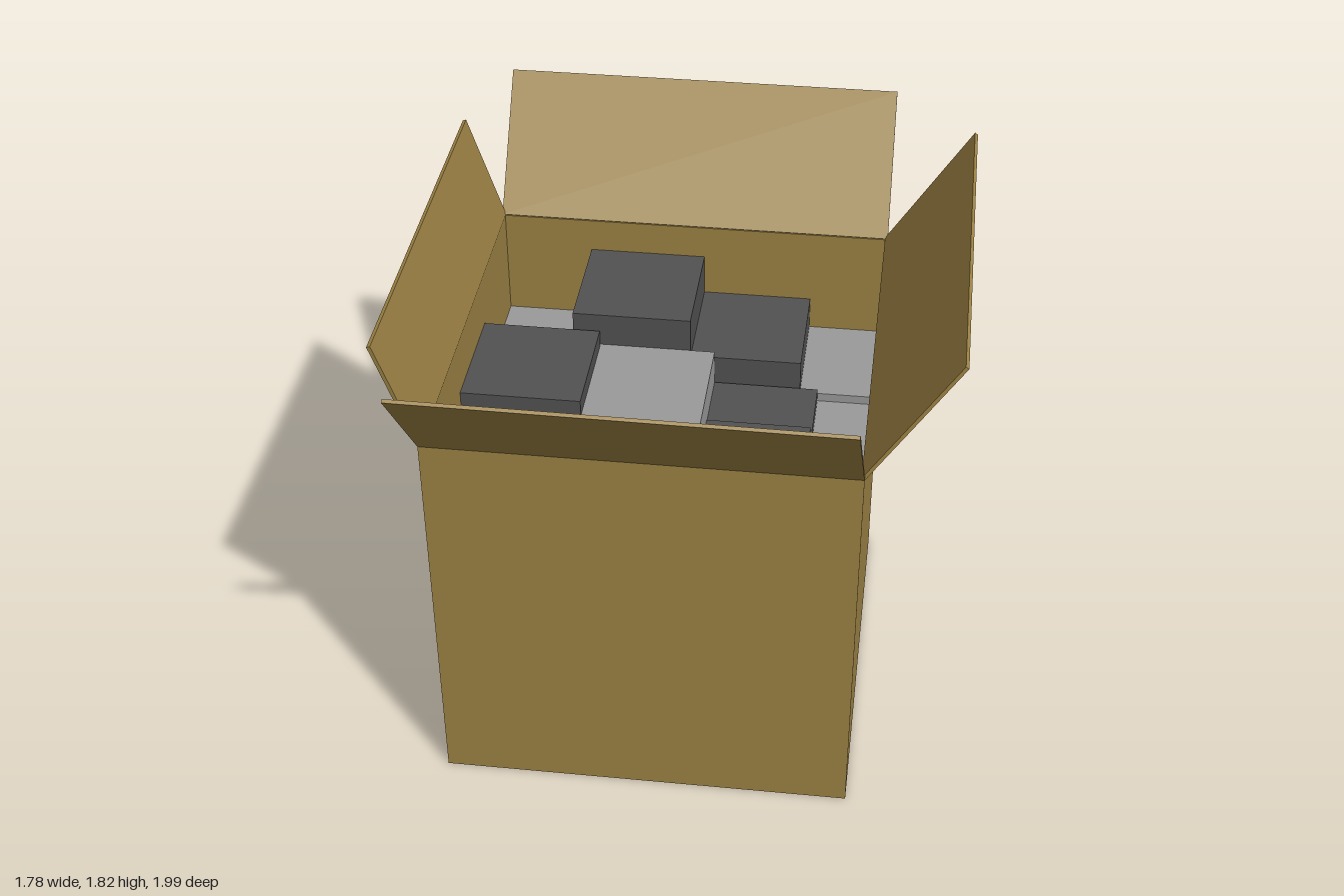
import * as THREE from 'three';

const X0 = -0.775, X1 = 0.605, Z0 = -0.66, Z1 = 0.72, H = 1.39, T = 0.01;

const cardboard = new THREE.MeshStandardMaterial({ color: 0x9c8244 });
const lightGrey = new THREE.MeshStandardMaterial({ color: 0x9a9a9a });
const darkGrey = new THREE.MeshStandardMaterial({ color: 0x525252 });

function addMesh(parent, name, geometry, material) {
  const mesh = new THREE.Mesh(geometry, material);
  mesh.name = name;
  parent.add(mesh);
  return mesh;
}

// Axis-aligned block given by its limits
function block(parent, name, x0, x1, y0, y1, z0, z1, material) {
  const geometry = new THREE.BoxGeometry(x1 - x0, y1 - y0, z1 - z0);
  geometry.translate((x0 + x1) / 2, (y0 + y1) / 2, (z0 + z1) / 2);
  return addMesh(parent, name, geometry, material);
}

// Thin sheet between a hinge line (a, b) and a tip line (c, d)
function flap(parent, name, a, b, c, d) {
  const [A, B, C, D] = [a, b, c, d].map((p) => new THREE.Vector3(...p));
  const normal = B.clone().sub(A).cross(C.clone().sub(A)).normalize();
  const geometry = new THREE.BoxGeometry(1, 1, 1);
  const pos = geometry.attributes.position;
  for (let i = 0; i < pos.count; i++) {
    const u = pos.getX(i) + 0.5, v = pos.getY(i) + 0.5, w = pos.getZ(i);
    const p = A.clone().lerp(B, u).lerp(C.clone().lerp(D, u), v);
    p.addScaledVector(normal, w * 0.012);
    pos.setXYZ(i, p.x, p.y, p.z);
  }
  geometry.computeVertexNormals();
  return addMesh(parent, name, geometry, cardboard);
}

function rectangle(PathType, x0, x1, z0, z1) {
  const p = new PathType();
  p.moveTo(x0, -z1).lineTo(x1, -z1).lineTo(x1, -z0).lineTo(x0, -z0).closePath();
  return p;
}

export function createModel() {
  const model = new THREE.Group();
  model.name = 'openCarton';

  // Carton walls and bottom
  const outline = rectangle(THREE.Shape, X0, X1, Z0, Z1);
  outline.holes.push(rectangle(THREE.Path, X0 + T, X1 - T, Z0 + T, Z1 - T));
  const walls = new THREE.ExtrudeGeometry(outline, { depth: H, bevelEnabled: false });
  walls.rotateX(-Math.PI / 2);
  addMesh(model, 'walls', walls, cardboard);
  block(model, 'bottom', X0 + T, X1 - T, 0, T, Z0 + T, Z1 - T, cardboard);

  // Four open flaps, each leaning and skewed a little differently
  const e = 0.005;
  flap(model, 'frontFlap', [X0, H, Z1 - e], [X1, H, Z1 - e], [-0.79, 1.757, 0.99], [0.592, 1.747, 0.985]);
  flap(model, 'backFlap', [X1, H, Z0 + e], [X0, H, Z0 + e], [0.6, 1.79, -0.995], [-0.78, 1.79, -0.995]);
  flap(model, 'leftFlap', [X1 - e, H, Z1], [X1 - e, H, Z0], [0.882, 1.813, 0.7], [0.882, 1.813, -0.688]);
  flap(model, 'rightFlap', [X0 + e, H, Z0], [X0 + e, H, Z1], [-0.885, 1.777, -0.633], [-0.885, 1.777, 0.757]);

  // Packed contents: x0, x1, z0, z1, top, material
  const contents = new THREE.Group();
  contents.name = 'contents';
  model.add(contents);
  const L = lightGrey, D = darkGrey;
  [
    [-0.765, -0.44, -0.65, -0.245, 1.0, L],
    [-0.455, -0.045, -0.65, -0.235, 1.27, D],
    [-0.05, 0.34, -0.65, -0.243, 1.12, D],
    [0.32, 0.595, -0.65, -0.24, 1.0, L],
    [-0.765, -0.36, -0.225, 0.19, 1.21, D],
    [-0.37, 0.04, -0.233, 0.186, 1.15, L],
    [0.03, 0.402, -0.235, 0.0, 1.02, D],
    [0.03, 0.396, 0.0, 0.297, 1.03, D],
    [0.38, 0.595, -0.238, 0.26, 0.97, L],
    [-0.765, -0.362, 0.19, 0.71, 1.0, L],
    [-0.36, 0.048, 0.185, 0.575, 1.13, D],
    [-0.36, -0.022, 0.3, 0.71, 1.0, L],
    [-0.02, 0.388, 0.297, 0.71, 1.11, L],
    [0.39, 0.595, 0.26, 0.68, 1.01, D],
  ].forEach(([x0, x1, z0, z1, top, material], i) => {
    block(contents, 'packedBox' + (i + 1), x0, x1, T, top, z0, z1, material);
  });

  return model;
}
